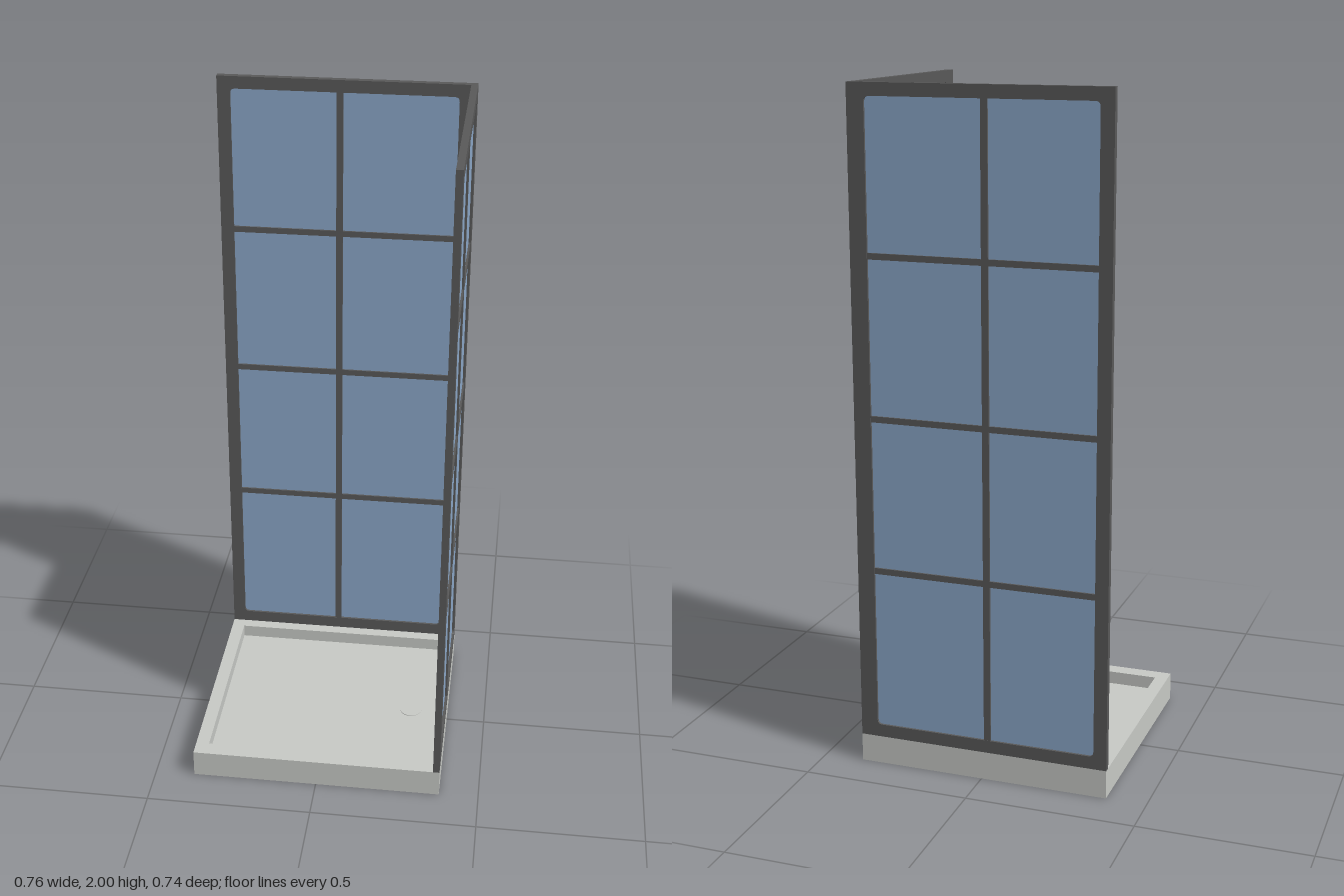
import * as THREE from 'three';

const TRAY_TOP = 0.085, TOP = 2, PANEL = 0.02;

// Counter-clockwise rectangle with small rounded corners
function rect(path, x0, x1, y0, y1, r = 0) {
  path.moveTo(x0 + r, y0);
  path.lineTo(x1 - r, y0);
  if (r) path.quadraticCurveTo(x1, y0, x1, y0 + r);
  path.lineTo(x1, y1 - r);
  if (r) path.quadraticCurveTo(x1, y1, x1 - r, y1);
  path.lineTo(x0 + r, y1);
  if (r) path.quadraticCurveTo(x0, y1, x0, y1 - r);
  path.lineTo(x0, y0 + r);
  if (r) path.quadraticCurveTo(x0, y0, x0 + r, y0);
  return path;
}

function add(parent, name, geometry, material, x = 0, y = 0, z = 0) {
  const mesh = new THREE.Mesh(geometry, material);
  mesh.name = name;
  mesh.position.set(x, y, z);
  parent.add(mesh);
  return mesh;
}

// Glazed panel in the local XY plane, centred on z = 0
function glazedPanel(name, outer, inner, mullionX, frameMat, glassMat) {
  const group = new THREE.Group();
  group.name = name;
  const [y0, y1] = [0.123, 1.963];
  const shape = rect(new THREE.Shape(), outer[0], outer[1], TRAY_TOP, TOP);
  shape.holes.push(rect(new THREE.Path(), inner[0], inner[1], y0, y1, 0.015));
  const frame = new THREE.ExtrudeGeometry(shape, { depth: PANEL, bevelEnabled: false, curveSegments: 4 });
  add(group, 'frame', frame, frameMat, 0, 0, -PANEL / 2);

  const w = inner[1] - inner[0], cx = (inner[0] + inner[1]) / 2;
  const h = y1 - y0, cy = (y0 + y1) / 2;
  add(group, 'glass', new THREE.BoxGeometry(w, h, 0.006), glassMat, cx, cy, 0);

  // Glazing bars
  add(group, 'verticalBar', new THREE.BoxGeometry(0.02, h, 0.018), frameMat, mullionX, cy, 0);
  for (const y of [0.605, 1.06, 1.526]) {
    add(group, 'crossBar', new THREE.BoxGeometry(w, 0.018, 0.017), frameMat, cx, y, 0);
  }
  return group;
}

export function createModel() {
  const model = new THREE.Group();
  model.name = 'showerEnclosure';
  const trayMat = new THREE.MeshStandardMaterial({ name: 'trayGrey', color: 0xc8cac6 });
  const frameMat = new THREE.MeshStandardMaterial({ name: 'frameGrey', color: 0x595959 });
  const glassMat = new THREE.MeshStandardMaterial({ name: 'glassBlue', color: 0x8ca8c9 });

  // Shower tray: floor, raised rim and drain
  const tray = new THREE.Group();
  tray.name = 'tray';
  const floorTop = 0.045;
  add(tray, 'trayFloor', new THREE.BoxGeometry(0.76, floorTop, 0.74), trayMat, 0, floorTop / 2, 0);
  const rim = rect(new THREE.Shape(), -0.38, 0.38, -0.37, 0.37);
  rim.holes.push(rect(new THREE.Path(), -0.34, 0.33, -0.322, 0.315));
  const rimGeo = new THREE.ExtrudeGeometry(rim, { depth: TRAY_TOP - floorTop, bevelEnabled: false });
  rimGeo.rotateX(-Math.PI / 2);
  add(tray, 'trayRim', rimGeo, trayMat, 0, floorTop, 0);
  add(tray, 'drain', new THREE.CylinderGeometry(0.034, 0.034, 0.002, 24), trayMat, 0.264, floorTop + 0.001, 0.022);
  model.add(tray);

  // Back panel
  const back = glazedPanel('backPanel', [-0.38, 0.38], [-0.341, 0.329], -0.018, frameMat, glassMat);
  back.position.z = -0.37 + PANEL / 2;
  model.add(back);

  // Side panel: local x runs towards -z
  const side = glazedPanel('sidePanel', [-0.37, 0.35], [-0.325, 0.311], -0.028, frameMat, glassMat);
  side.rotation.y = Math.PI / 2;
  side.position.x = 0.38 - PANEL / 2;
  model.add(side);

  return model;
}
